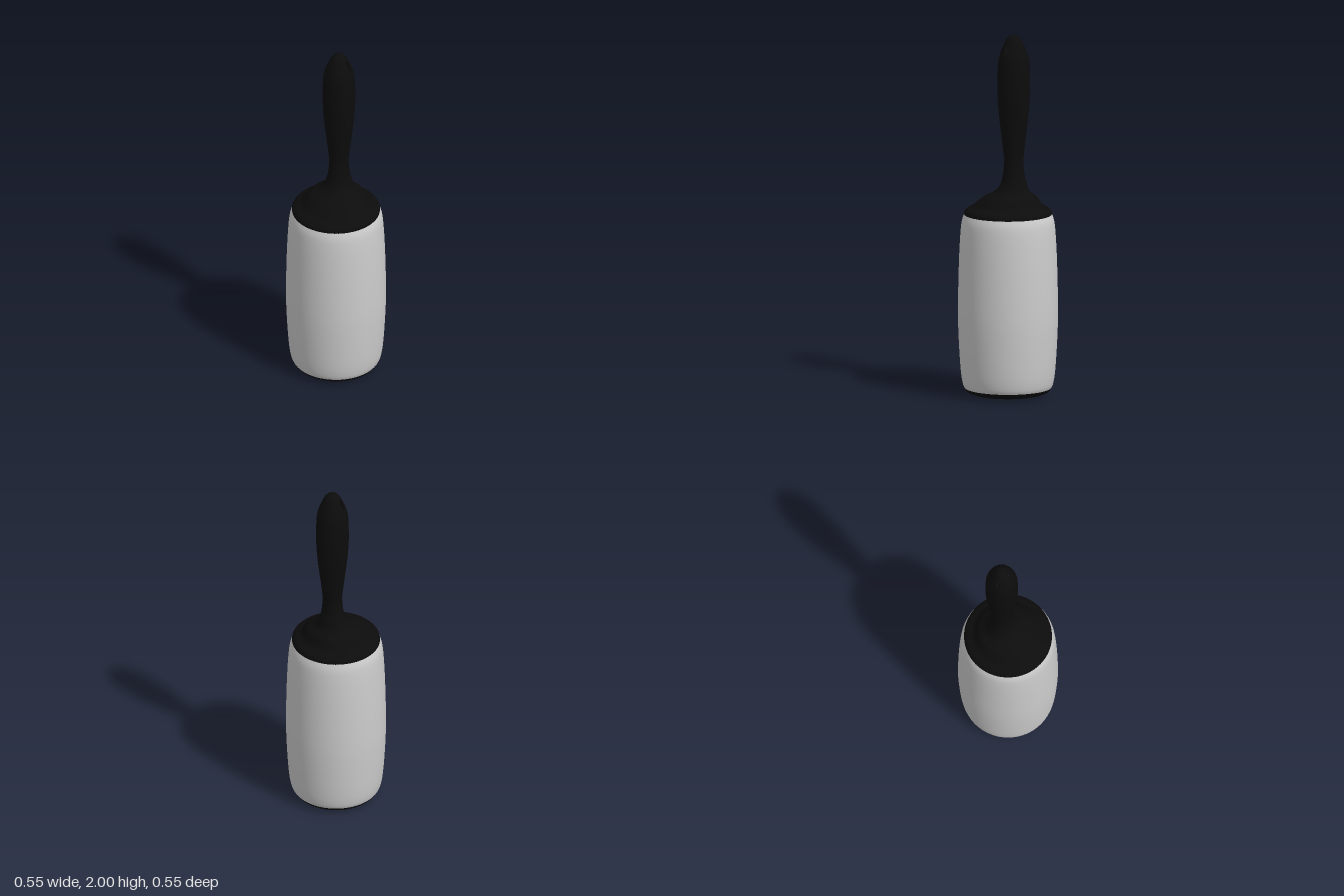
import * as THREE from 'three';
import { mergeVertices } from 'three/addons/utils/BufferGeometryUtils.js';
import { ParametricGeometry } from 'three/addons/geometries/ParametricGeometry.js';

const black = new THREE.MeshStandardMaterial({ color: 0x0c0c0c });
const grey = new THREE.MeshStandardMaterial({ color: 0xcccccc });

const HANDLE_Z = -0.038; // the handle sits behind the roller axis
const CUT = 1.87;        // above this the handle tip carries the hanging hole
const HOLE = { y: 1.932, z: 0.005, ry: 0.032, rz: 0.011 };

const vectors = (pairs) => pairs.map(([r, y]) => new THREE.Vector2(r, y));
const smoothProfile = (pairs, n) => new THREE.SplineCurve(vectors(pairs)).getPoints(n);

// Collar, neck, grip and tip as [radius, height]
const handleProfile = smoothProfile([
  [0.24, 1.0], [0.238, 1.018], [0.222, 1.034], [0.19, 1.05], [0.168, 1.075], [0.145, 1.1],
  [0.105, 1.125], [0.08, 1.155], [0.062, 1.21], [0.054, 1.28], [0.055, 1.33], [0.066, 1.43],
  [0.081, 1.56], [0.089, 1.68], [0.089, 1.77], [0.085, 1.85], [0.074, 1.9], [0.058, 1.94],
  [0.044, 1.97], [0.028, 1.99], [0.013, 1.998], [0, 2.0],
], 160);

function handleRadius(y) {
  for (let i = 1; i < handleProfile.length; i++) {
    const a = handleProfile[i - 1], b = handleProfile[i];
    if (y <= b.y) return THREE.MathUtils.mapLinear(y, a.y, b.y, a.x, b.x);
  }
  return 0;
}

// Weld seams so that shading stays smooth all round
function weld(geometry) {
  geometry.deleteAttribute('uv');
  geometry.deleteAttribute('normal');
  const welded = mergeVertices(geometry, 1e-5);
  welded.computeVertexNormals();
  return welded;
}

function addMesh(parent, name, geometry, material) {
  const mesh = new THREE.Mesh(geometry, material);
  mesh.name = name;
  parent.add(mesh);
  return mesh;
}

// Collar and grip: a lathe whose axis slides back above the collar
function gripGeometry() {
  const points = handleProfile.filter((p) => p.y < CUT);
  points.push(new THREE.Vector2(handleRadius(CUT), CUT));
  const geometry = new THREE.LatheGeometry(points, 64);
  const pos = geometry.attributes.position;
  for (let i = 0; i < pos.count; i++) {
    const shift = HANDLE_Z * THREE.MathUtils.smoothstep(pos.getY(i), 1.04, 1.18);
    pos.setZ(i, pos.getZ(i) + shift);
  }
  return weld(geometry);
}

const sideDepth = (y, z) => Math.sqrt(Math.max(0, handleRadius(y) ** 2 - z * z));

const rimPoint = (angle) => ({
  z: HOLE.z + HOLE.rz * Math.cos(angle),
  y: HOLE.y + HOLE.ry * Math.sin(angle),
});

// Point where a ray from the hole rim meets the outline of the tip
function outlinePoint(angle) {
  const c = Math.cos(angle), s = Math.sin(angle);
  let low = 0, high = 0.3;
  for (let i = 0; i < 24; i++) {
    const t = (low + high) / 2;
    const y = HOLE.y + t * s;
    const outside = y < CUT - 0.015 || Math.abs(HOLE.z + t * c) > handleRadius(y);
    if (outside) high = t; else low = t;
  }
  return { z: HOLE.z + low * c, y: HOLE.y + low * s };
}

// One side of the tip, spread from the hole rim to the outline
function tipGeometry(side) {
  return weld(new ParametricGeometry((u, v, target) => {
    const angle = side * u * Math.PI * 2;
    const rim = rimPoint(angle), edge = outlinePoint(angle);
    const t = Math.sin(v * Math.PI / 2);
    const z = THREE.MathUtils.lerp(rim.z, edge.z, t);
    const y = THREE.MathUtils.lerp(rim.y, edge.y, t);
    target.set(side * sideDepth(y, z), y, z + HANDLE_Z);
  }, 120, 16));
}

// Inner wall of the hanging hole
function holeWallGeometry() {
  return weld(new ParametricGeometry((u, v, target) => {
    const { y, z } = rimPoint(u * Math.PI * 2);
    target.set((2 * v - 1) * sideDepth(y, z), y, z + HANDLE_Z);
  }, 120, 2));
}

export function createModel() {
  const model = new THREE.Group();
  model.name = 'lintRoller';

  // Handle
  const handle = new THREE.Group();
  handle.name = 'handle';
  model.add(handle);
  addMesh(handle, 'grip', gripGeometry(), black);
  addMesh(handle, 'tipLeft', tipGeometry(1), black);
  addMesh(handle, 'tipRight', tipGeometry(-1), black);
  addMesh(handle, 'hangingHole', holeWallGeometry(), black);

  // Barrel-shaped roller
  const rollerProfile = smoothProfile([
    [0.238, 0.042], [0.247, 0.065], [0.256, 0.12], [0.264, 0.22], [0.271, 0.36], [0.273, 0.47],
    [0.271, 0.62], [0.267, 0.76], [0.261, 0.88], [0.253, 0.96], [0.24, 1.003],
  ], 50);
  addMesh(model, 'roller', weld(new THREE.LatheGeometry(rollerProfile, 72)), grey);

  // Bottom cap, slightly domed
  const capProfile = smoothProfile([
    [0, 0], [0.09, 0.001], [0.17, 0.006], [0.212, 0.016], [0.23, 0.029], [0.239, 0.045],
  ], 24);
  addMesh(model, 'bottomCap', weld(new THREE.LatheGeometry(capProfile, 72)), black);

  return model;
}
